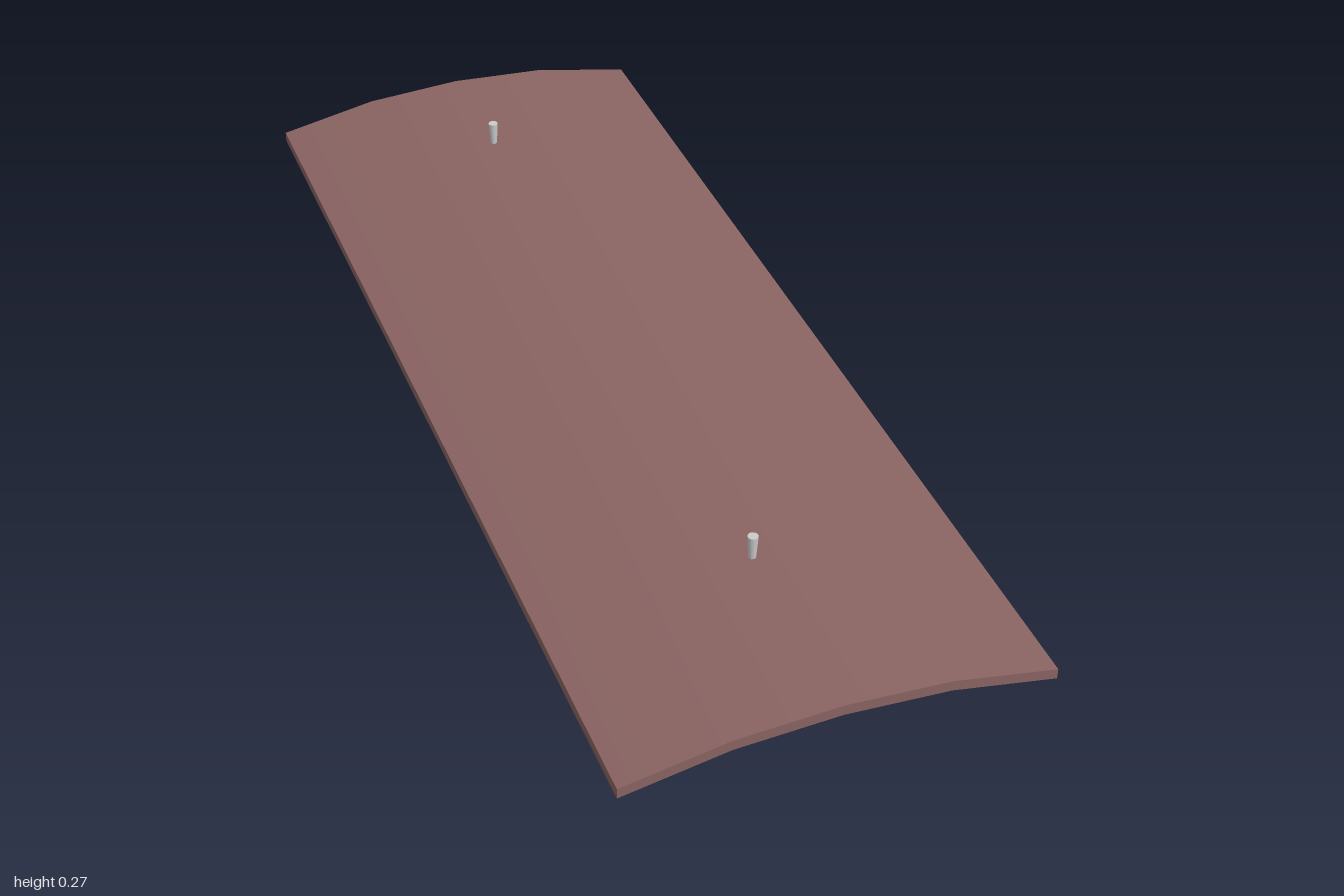
import * as THREE from 'three';
import { toCreasedNormals } from 'three/addons/utils/BufferGeometryUtils.js';

// Arched cross-section of the canopy: [x, y] from right to left
const ARCH = [[-0.375, 0.175], [-0.186, 0.212], [0, 0.223], [0.186, 0.212], [0.375, 0.175]];

// Closed outline of the canopy, scaled in plan and lowered by drop
function ring(sx, halfLength, drop) {
  const front = ARCH.map(([x, y]) => [x * sx, y - drop, halfLength]);
  const back = front.map(([x, y, z]) => [x, y, -z]).reverse();
  return [...front, ...back];
}

function quadMesh(quads, color, name) {
  const positions = quads.flatMap(([a, b, c, d]) => [a, b, c, a, c, d]).flat();
  const geometry = new THREE.BufferGeometry();
  geometry.setAttribute('position', new THREE.Float32BufferAttribute(positions, 3));
  const mesh = new THREE.Mesh(toCreasedNormals(geometry, 0.4), new THREE.MeshStandardMaterial({ color }));
  mesh.name = name;
  return mesh;
}

// Band of faces joining two outlines
const band = (upper, lower) => upper.map((p, i) => {
  const j = (i + 1) % upper.length;
  return [lower[i], lower[j], upper[j], p];
});

// Faces filling an outline, facing up or down
const cap = (r, up) => [0, 1, 2, 3].map((i) => {
  const quad = [r[i], r[i + 1], r[8 - i], r[9 - i]];
  return up ? quad : quad.reverse();
});

function createLamp(z) {
  const lamp = new THREE.Group();
  lamp.name = 'hangingLamp';
  const material = new THREE.MeshStandardMaterial({ color: 0xcccccc });

  // Pear-shaped bulb: round bowl running into a narrower neck
  const profile = [];
  for (let i = 0; i <= 10; i++) {
    const a = (i / 10) * 2.1;
    profile.push(new THREE.Vector2(0.065 * Math.sin(a), 0.065 - 0.065 * Math.cos(a)));
  }
  const neck = new THREE.SplineCurve([
    [0.053, 0.1], [0.044, 0.106], [0.039, 0.122], [0.035, 0.14], [0.027, 0.155], [0.014, 0.165], [0, 0.168],
  ].map(([r, y]) => new THREE.Vector2(r, y)));
  profile.push(...neck.getPoints(18).slice(1));
  profile[profile.length - 1].x = 0;
  const bulb = new THREE.Mesh(new THREE.LatheGeometry(profile, 32), material);
  bulb.name = 'bulb';

  // Tapered stem passing through the canopy
  const stem = new THREE.Mesh(new THREE.CylinderGeometry(0.0095, 0.003, 0.105, 10), material);
  stem.name = 'stem';
  stem.position.y = 0.2155;

  lamp.add(bulb, stem);
  lamp.position.z = z;
  return lamp;
}

export function createModel() {
  const model = new THREE.Group();
  model.name = 'canopyWithLamps';

  const top = ring(1, 1, 0);
  const edge = ring(1, 1, 0.02);
  const lip = ring(0.885, 0.955, 0.032);
  const inner = ring(0.87, 0.948, 0.013);

  // Roof with outer edge, bevelled underside rim and inner wall
  model.add(quadMesh(
    [...cap(top, true), ...band(top, edge), ...band(edge, lip), ...band(lip, inner)],
    0x8a6462, 'canopy'));
  // Dark recessed ceiling
  model.add(quadMesh(cap(inner, false), 0x443050, 'ceilingPanel'));

  for (const z of [0.63, -0.74]) model.add(createLamp(z));
  return model;
}
